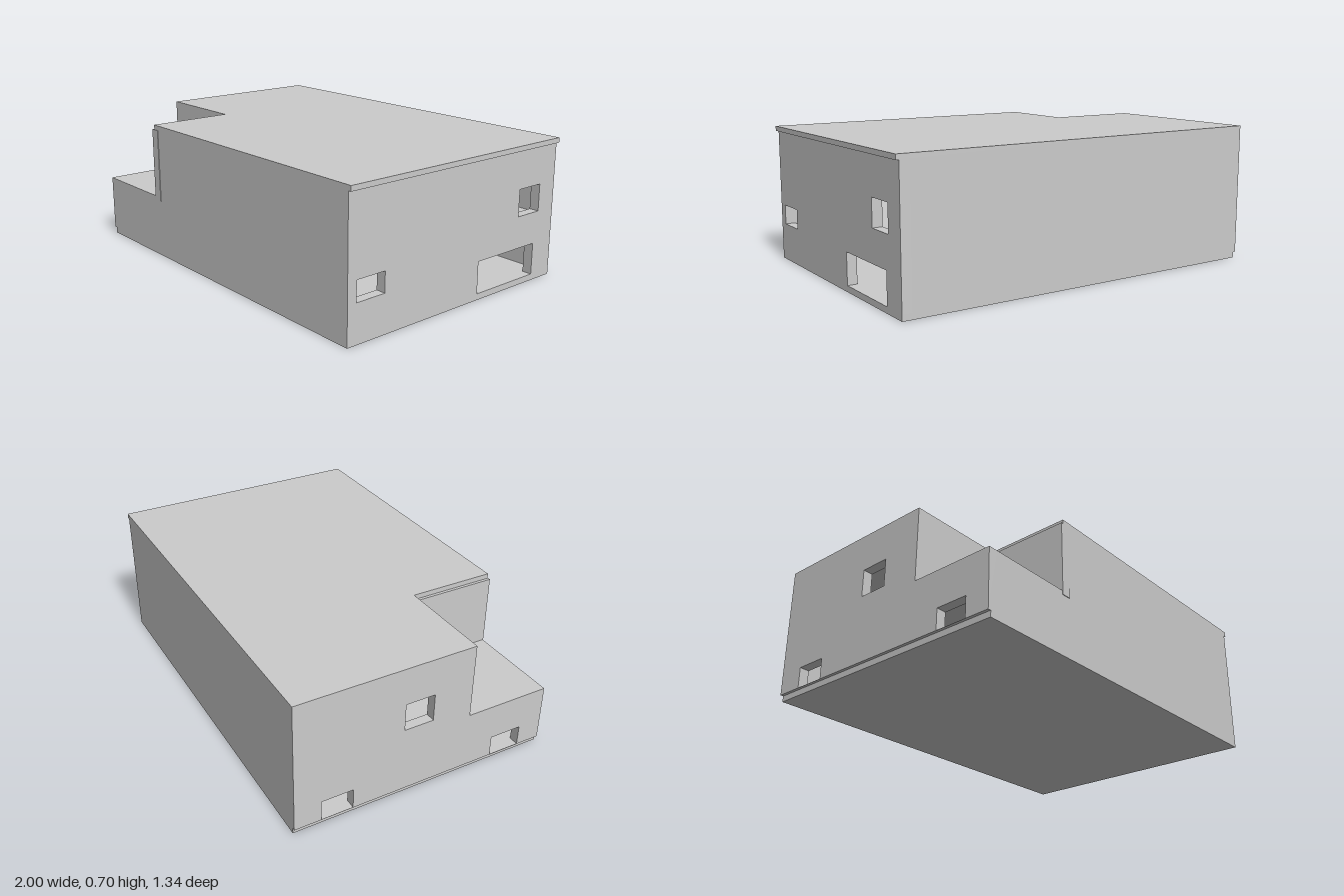
import * as THREE from 'three';

const material = new THREE.MeshStandardMaterial({ color: 0xcccccc, flatShading: true });
const WALL = 0.05;

export function createModel() {
  const house = new THREE.Group();
  house.name = 'house';

  // Box given by its limits on each axis
  function block(name, [x0, x1], [y0, y1], [z0, z1]) {
    const mesh = new THREE.Mesh(new THREE.BoxGeometry(x1 - x0, y1 - y0, z1 - z0), material);
    mesh.position.set((x0 + x1) / 2, (y0 + y1) / 2, (z0 + z1) / 2);
    mesh.name = name;
    house.add(mesh);
  }

  // Side wall: outline in (z, y) with rectangular openings, thickened along -x
  function sideWall(name, outerX, outline, openings) {
    const shape = new THREE.Shape(outline.map(([z, y]) => new THREE.Vector2(z, y)));
    for (const [z0, z1, y0, y1] of openings) {
      shape.holes.push(new THREE.Path([
        new THREE.Vector2(z0, y0), new THREE.Vector2(z0, y1),
        new THREE.Vector2(z1, y1), new THREE.Vector2(z1, y0),
      ]));
    }
    const geometry = new THREE.ExtrudeGeometry(shape, { depth: WALL, bevelEnabled: false });
    geometry.rotateY(-Math.PI / 2);
    const mesh = new THREE.Mesh(geometry, material);
    mesh.position.x = outerX;
    mesh.name = name;
    house.add(mesh);
  }

  // Ground slab, slightly inset at the left
  block('groundSlab', [-0.985, 0.985], [0, 0.03], [-0.67, 0.67]);

  // Right wall with two windows and a wide entrance
  sideWall('rightWall', 0.985,
    [[-0.67, 0.03], [0.67, 0.03], [0.67, 0.675], [-0.67, 0.675]],
    [[0.46, 0.62, 0.19, 0.29], [-0.56, -0.41, 0.35, 0.485], [-0.535, -0.135, 0.031, 0.19]]);

  // Left wall, stepped down beside the terrace
  sideWall('leftWall', -1 + WALL,
    [[-0.67, 0.03], [0.67, 0.03], [0.67, 0.32], [0.235, 0.32], [0.235, 0.675], [-0.67, 0.675]],
    [[-0.535, -0.375, 0.031, 0.135], [0.38, 0.545, 0.031, 0.135], [-0.12, 0.03, 0.37, 0.51]]);

  // Front and back walls between the side walls
  const inner = [-1 + WALL, 0.985 - WALL];
  block('backWall', inner, [0.03, 0.675], [-0.67, -0.67 + WALL]);
  block('lowerFrontWall', inner, [0.03, 0.32], [0.67 - WALL, 0.67]);
  block('upperFrontWall', [-0.52, inner[1]], [0.32, 0.675], [0.67 - WALL, 0.67]);

  // Upper walls around the terrace
  block('terraceSideWall', [-0.52, -0.47], [0.32, 0.675], [0.235, 0.62]);
  block('terraceBackWall', [-0.95, -0.47], [0.32, 0.675], [0.185, 0.235]);
  block('cornerPost', [-0.52, -0.47], [0.3, 0.675], [0.66, 0.673]);

  // Upper floor, which also forms the terrace
  block('upperFloor', inner, [0.29, 0.32], [-0.62, 0.62]);

  // Roof slab in two parts, overhanging the right wall
  block('mainRoof', [-0.505, 1], [0.675, 0.7], [-0.67, 0.67]);
  block('leftRoof', [-1, -0.505], [0.675, 0.7], [-0.67, 0.235]);

  // Inside partitions on both floors
  block('lowerPartition', [-0.95, 0.5], [0.03, 0.29], [-0.295, -0.245]);
  block('lowerCrossWall', [0.3, 0.35], [0.03, 0.29], [-0.245, 0.62]);
  block('insideStep', [0.35, 0.5], [0.03, 0.06], [-0.245, -0.1]);
  block('upperCrossWall', [0.2, 0.25], [0.32, 0.675], [-0.62, 0.62]);

  return house;
}
